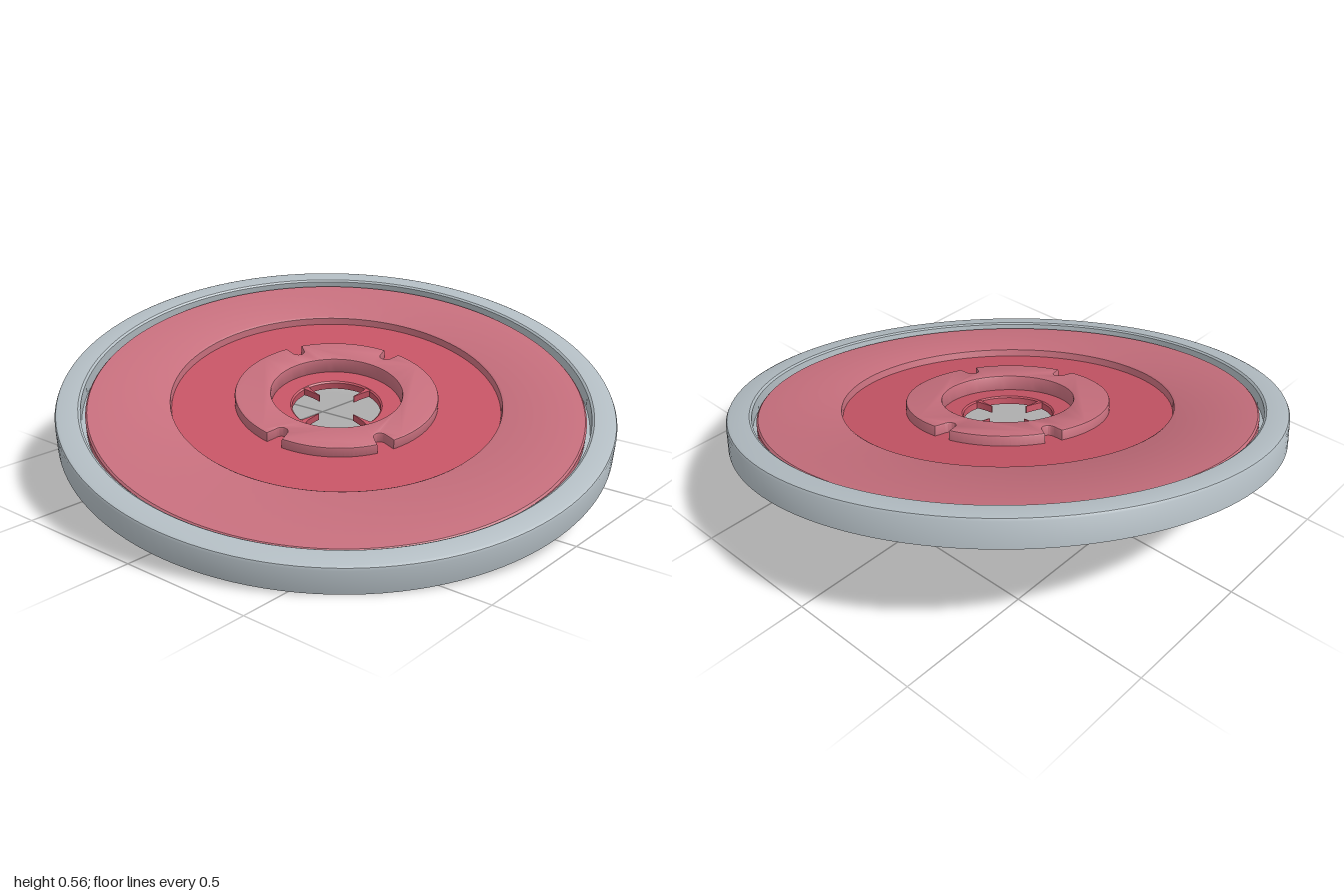
import * as THREE from 'three';
import { toCreasedNormals } from 'three/addons/utils/BufferGeometryUtils.js';

const material = (name, color) => {
  const m = new THREE.MeshStandardMaterial({ color });
  m.name = name;
  return m;
};

export function createModel() {
  const grey = material('rim grey', 0xb2bcc2);
  const rose = material('muted rose', 0xc56e7c);
  const red = material('deep red', 0xc45464);

  const disc = new THREE.Group();
  disc.name = 'tiltedDisc';
  const add = (name, geo, mat) => {
    const mesh = new THREE.Mesh(toCreasedNormals(geo, 0.6), mat);
    mesh.name = name;
    disc.add(mesh);
    return mesh;
  };
  // Profiles are [radius, height], running counter-clockwise around the solid
  const lathe = (name, pts, mat) =>
    add(name, new THREE.LatheGeometry(pts.map(p => new THREE.Vector2(...p)), 128), mat);

  const R = 1.005, T = 0.1, bore = 0.163;

  // Shallow tray with raised rim
  lathe('tray', [[bore, 0], [R, 0], [R, T - 0.012], [R - 0.004, T - 0.004], [R - 0.014, T],
    [0.925, T], [0.917, T - 0.006], [0.917, 0.045], [0.88, 0.045]], grey);

  // Wide annular panel, separated from the rim by a narrow groove
  lathe('outerPanel', [[0.902, 0.045], [0.902, 0.075], [0.896, 0.081], [0.612, 0.081],
    [0.604, 0.076], [0.6, 0.05]], rose);

  // Recessed floor, lower centre floor and bore wall
  lathe('recessFloor', [[0.602, 0.05], [0.26, 0.05]], red);
  lathe('centreFloor', [[0.26, 0.03], [bore + 0.006, 0.03], [bore, 0.025], [bore, 0]], red);

  // Raised hub ring with four rounded notches
  const outer = 0.372, rad = Math.PI / 180;
  const notches = [-265, -203, -85, -23].map(a => a * rad);
  const half = 0.085;
  const at = (r, a) => [r * Math.cos(a), r * Math.sin(a)];
  const ring = new THREE.Shape();
  notches.forEach((a, i) => {
    const next = i < 3 ? notches[i + 1] : notches[0] + Math.PI * 2;
    if (i === 0) ring.moveTo(...at(outer, a - half));
    ring.lineTo(...at(0.335, a - half * 0.8));
    ring.bezierCurveTo(...at(0.302, a - half * 0.8), ...at(0.302, a + half * 0.8), ...at(0.335, a + half * 0.8));
    ring.lineTo(...at(outer, a + half));
    ring.absarc(0, 0, outer, a + half, next - half, false);
  });
  const hole = new THREE.Path();
  hole.absarc(0, 0, 0.24, 0, Math.PI * 2, true);
  ring.holes.push(hole);
  const hub = new THREE.ExtrudeGeometry(ring, {
    depth: 0.05, curveSegments: 40, bevelEnabled: true,
    bevelThickness: 0.007, bevelSize: 0.007, bevelOffset: -0.007, bevelSegments: 2,
  });
  hub.rotateX(-Math.PI / 2).translate(0, 0.03, 0);
  add('hubRing', hub, rose);

  // Thin spikes pointing into the bore
  const spike = new THREE.Shape();
  spike.moveTo(bore + 0.005, -0.014);
  spike.quadraticCurveTo(0.145, -0.003, 0.09, -0.002);
  spike.lineTo(0.09, 0.002);
  spike.quadraticCurveTo(0.145, 0.003, bore + 0.005, 0.014);
  spike.closePath();
  for (let i = 0; i < 4; i++) {
    const geo = new THREE.ExtrudeGeometry(spike, { depth: 0.026, bevelEnabled: false, curveSegments: 6 });
    geo.rotateX(-Math.PI / 2).translate(0, 0.002, 0);
    add('boreSpike' + (i + 1), geo, red).rotation.y = -6 * rad + i * Math.PI / 2;
  }

  // Lean the whole disc toward the front and its left
  disc.children.forEach(c => { c.position.y -= T / 2; });
  const normal = new THREE.Vector3(0.17, 1, 0.17).normalize();
  disc.quaternion.setFromUnitVectors(new THREE.Vector3(0, 1, 0), normal);
  disc.position.y = R * Math.sqrt(1 - normal.y ** 2) + (T / 2) * normal.y;

  const model = new THREE.Group();
  model.name = 'ringedDisc';
  model.add(disc);
  return model;
}
